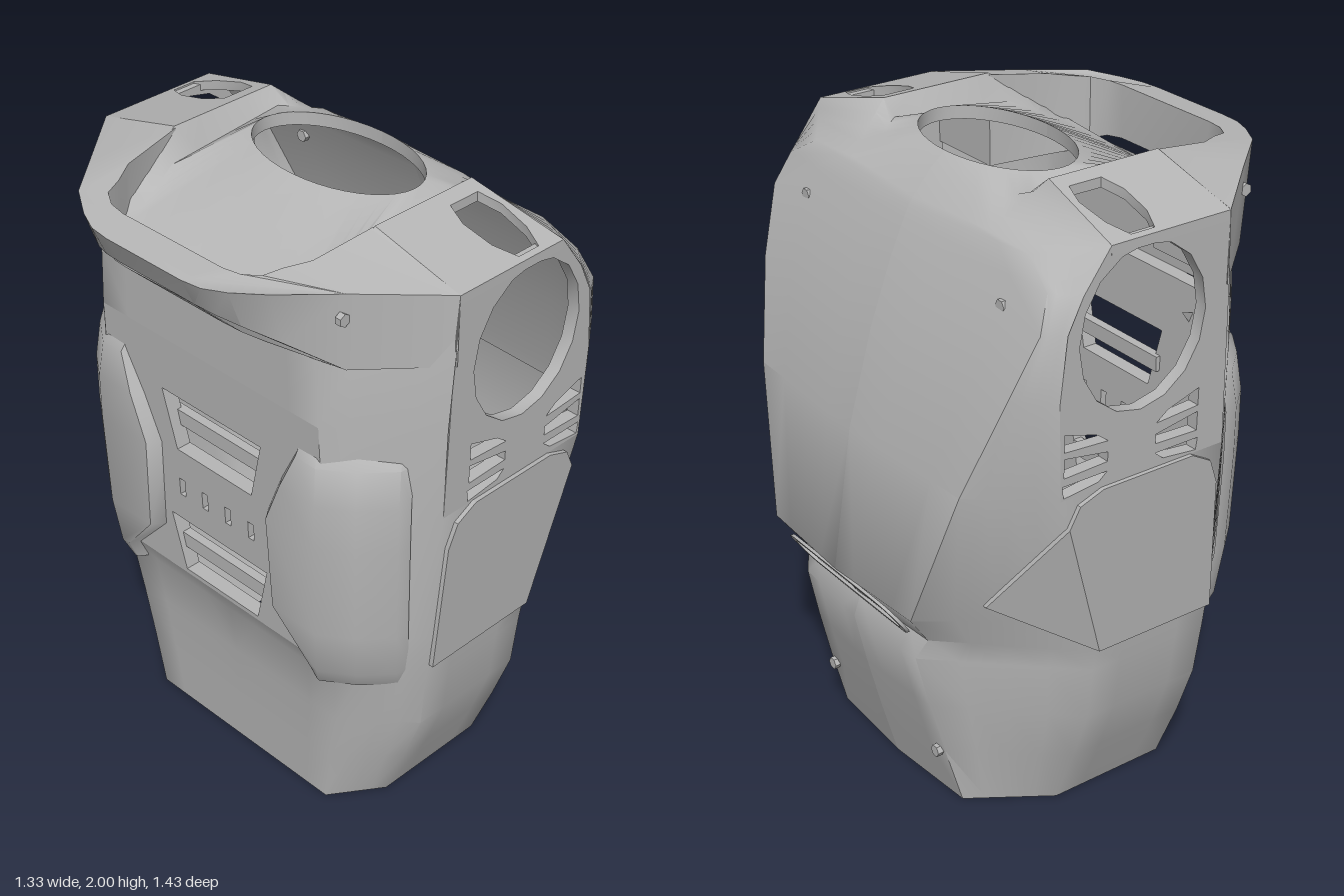
import * as THREE from 'three';
import { toCreasedNormals } from 'three/addons/utils/BufferGeometryUtils.js';

const grey = new THREE.MeshStandardMaterial({ color: 0xb6b6b6, side: THREE.DoubleSide });
grey.name = 'shell grey';

function mesh(name, geometry, crease = 0.6) {
  const m = new THREE.Mesh(toCreasedNormals(geometry, crease), grey);
  m.name = name;
  return m;
}

// Surface through rows of [x, y, z] points; skip(row, column) leaves openings
function loft(rows, skip = () => false) {
  const n = rows[0].length, index = [];
  for (let i = 0; i < rows.length - 1; i++) {
    for (let j = 0; j < n - 1; j++) {
      if (skip(i, j)) continue;
      const a = i * n + j, b = a + n;
      index.push(a, b, a + 1, a + 1, b, b + 1);
    }
  }
  const g = new THREE.BufferGeometry();
  g.setAttribute('position', new THREE.Float32BufferAttribute(rows.flat(2), 3));
  g.setIndex(index);
  return g;
}

// Extruded outline with holes, every vertex then moved by rule(u, v, depth)
function panel(name, outline, holes, depth, rule) {
  const shape = new THREE.Shape(outline.map(p => new THREE.Vector2(...p)));
  shape.holes = holes.map(h => new THREE.Path(h.map(p => new THREE.Vector2(...p))));
  const g = new THREE.ExtrudeGeometry(shape, { depth, bevelEnabled: false });
  const p = g.attributes.position;
  for (let i = 0; i < p.count; i++) p.setXYZ(i, ...rule(p.getX(i), p.getY(i), p.getZ(i)));
  return mesh(name, g, 0.5);
}

function ellipse(cx, cy, rx, ry, n) {
  return Array.from({ length: n }, (_, i) => {
    const a = (i / n) * Math.PI * 2;
    return [cx + rx * Math.cos(a), cy + ry * Math.sin(a)];
  });
}

function stadium(halfWidth, halfHeight, cy) {
  return Array.from({ length: 18 }, (_, i) => {
    const a = -Math.PI / 2 + (i % 9) / 8 * Math.PI + (i > 8 ? Math.PI : 0);
    const side = i > 8 ? -1 : 1;
    return [side * (halfWidth - halfHeight) + halfHeight * Math.cos(a), cy + halfHeight * Math.sin(a)];
  });
}

// Split each side of a six-point half section into four steps
const STEPS = 4;
function divide(points) {
  const out = [];
  for (let k = 0; k < points.length - 1; k++) {
    for (let s = 0; s < STEPS; s++) {
      out.push(points[k].map((v, c) => v + (points[k + 1][c] - v) * s / STEPS));
    }
  }
  out.push(points[points.length - 1]);
  return out;
}

function section([y, xf, zf, xa, zs, xb, xr, zr]) {
  return divide([[xf, y, 0], [xf - 0.02, y, zf], [xa, y, zs], [xb, y, zs], [xr, y, zr], [xr, y, 0]]);
}

function halfBody() {
  const half = new THREE.Group();
  half.name = 'bodyHalf';

  // Wall sections: height, chest x and half width, side front x, side z, side back x, back x and half width
  const walls = [
    [0, 0.46, 0.33, 0.2, 0.49, -0.2, -0.36, 0.38],
    [0.2, 0.515, 0.32, 0.2, 0.57, -0.21, -0.37, 0.41],
    [0.38, 0.56, 0.31, 0.2, 0.635, -0.21, -0.38, 0.44],
    [0.56, 0.60, 0.30, 0.2, 0.655, -0.22, -0.40, 0.46],
    [0.63, 0.575, 0.33, 0.2, 0.665, -0.22, -0.43, 0.46],
    [0.75, 0.66, 0.37, 0.23, 0.675, -0.22, -0.44, 0.46],
    [1.2, 0.59, 0.52, 0.36, 0.70, -0.22, -0.452, 0.46],
    [1.5, 0.505, 0.62, 0.37, 0.705, -0.22, -0.46, 0.45],
    [1.7, 0.43, 0.67, 0.35, 0.71, -0.21, -0.46, 0.44],
    [1.8, 0.385, 0.64, 0.30, 0.71, -0.20, -0.46, 0.42],
  ].map(section);

  // Inner lining, running from the waist down to the open base
  const lining = walls.slice(0, 7).reverse().map(row =>
    row.map(([x, y, z]) => [0.05 + (x - 0.05) * 0.92, y, z * 0.93]));

  // Chest lip, shoulder ridge and domed deck
  const deck = [
    [[0.365, 1.84, 0], [0.34, 1.865, 0.53], [0.21, 1.92, 0.71], [-0.2, 1.92, 0.71], [-0.46, 1.8, 0.4], [-0.46, 1.78, 0]],
    [[0.35, 1.86, 0], [0.335, 1.87, 0.34], [0.18, 2, 0.4], [-0.2, 2, 0.4], [-0.46, 1.82, 0.38], [-0.46, 1.79, 0]],
    [[0.29, 1.93, 0], [0.28, 1.93, 0.28], [0.17, 1.95, 0.36], [-0.25, 1.91, 0.36], [-0.43, 1.82, 0.32], [-0.43, 1.81, 0]],
  ].map(divide);
  const neck = [1.972, 1.93].map(y => walls[0].map((_, j, row) => {
    const a = j / (row.length - 1) * Math.PI;
    return [0.06 + 0.18 * Math.cos(a), y, 0.3 * Math.sin(a)];
  }));
  const rows = [...lining, ...walls, ...deck, ...neck];
  const skip = (i, j) => {
    const strip = Math.floor(j / STEPS);
    return (strip === 2 && i >= 13 && i <= 17) || (strip === 4 && (i < 2 || (i >= 11 && i <= 13)));
  };
  half.add(mesh('bodyShell', loft(rows, skip), 0.85));

  // Shoulder wall with arm opening and fanned vents
  const vents = [
    [[0.2, 1.34], [0.35, 1.35], [0.35, 1.405], [0.24, 1.37]],
    [[0.2, 1.275], [0.35, 1.27], [0.35, 1.33], [0.2, 1.305]],
    [[0.23, 1.22], [0.35, 1.207], [0.355, 1.245], [0.2, 1.245]],
  ];
  const mirrored = vents.map(v => v.map(([x, y]) => [0.23 - x, y]));
  half.add(panel('shoulderWall',
    [[-0.22, 1.2], [0.36, 1.2], [0.37, 1.5], [0.35, 1.7], [0.3, 1.8], [0.21, 1.92], [-0.2, 1.92], [-0.21, 1.7]],
    [ellipse(0.09, 1.65, 0.218, 0.247, 16), ...vents, ...mirrored], 0.04,
    (x, y, d) => [x, y, 0.66 + d + (y - 1.2) * 0.014]));

  // Sloped shoulder top with its opening
  half.add(panel('shoulderTop',
    [[-0.2, 0.4], [0.18, 0.4], [0.21, 0.71], [-0.2, 0.71]],
    [[[0.04, 0.45], [0.15, 0.45], [0.17, 0.52], [0.16, 0.62], [0.13, 0.69], [0.05, 0.69], [0.02, 0.62], [0.015, 0.52]]],
    0.03, (x, z, d) => [x, 2 - 0.258 * (z - 0.4) - d, z]));

  // Waist plate, folded along the body edge
  const plateRule = (x, y, d) => {
    const fold = 0.23 + (y - 0.75) * 0.29;
    return [x, y, 0.668 + d + 0.055 * (y - 0.64) - 0.76 * Math.max(0, x - fold)];
  };
  half.add(panel('waistPlate',
    [[-0.22, 0.64], [0.198, 0.64], [0.333, 1.104], [0.3, 1.17], [0.22, 1.2], [-0.1, 1.2], [-0.17, 1.16], [-0.2, 1.08]],
    [], 0.015, plateRule));
  half.add(panel('waistPlateFront', [[0.198, 0.64], [0.48, 0.81], [0.333, 1.104]], [], 0.015, plateRule));

  // Raised pad wrapping the rear corner: height, inset and shift of the inner edge
  const padPlan = [[-0.43, 0.22], [-0.485, 0.26], [-0.487, 0.46], [-0.42, 0.555], [-0.33, 0.635], [-0.285, 0.64]];
  const padRows = [[0.55, 0.06, 0.19], [0.62, 0.03, 0.17], [0.78, 0.01, 0.02], [1.1, 0, 0],
    [1.25, 0, 0.06], [1.37, 0.015, 0.12], [1.42, 0.05, 0.14]];
  half.add(mesh('rearPad', loft(padRows.map(([y, d, shift]) =>
    padPlan.map(([x, z], k) => [x + d, y, z - d * 0.7 + (k < 2 ? shift : 0)]))), 0.8));

  // Small fasteners
  for (const [x, y, z] of [[0.4, 1.72, 0.49], [0.503, 0.19, 0.29], [-0.43, 1.86, 0.51]]) {
    const g = new THREE.CylinderGeometry(0.02, 0.02, 0.02, 6);
    if (x > 0) g.rotateZ(Math.PI / 2); else g.rotateX(Math.PI / 2);
    const bolt = mesh('fastener', g);
    bolt.position.set(x, y, z);
    half.add(bolt);
  }
  return half;
}

export function createModel() {
  const model = new THREE.Group();
  model.name = 'armourTorso';
  const left = halfBody(), right = halfBody();
  right.scale.z = -1;
  model.add(left, right);

  // Rear wall with two windows and a row of slots
  const window = y => [[-0.21, y + 0.1], [-0.16, y - 0.1], [0.16, y - 0.1], [0.21, y + 0.1]];
  const slots = [-0.15, -0.05, 0.05, 0.15].map(z =>
    [[z - 0.012, 0.94], [z + 0.012, 0.94], [z + 0.012, 1.0], [z - 0.012, 1.0]]);
  model.add(panel('rearWall',
    [[-0.46, 0.63], [0.46, 0.63], [0.46, 1.2], [0.45, 1.5], [-0.45, 1.5], [-0.46, 1.2]],
    [window(0.745), window(1.21), ...slots], 0.05,
    (z, y, d) => [-0.43 - 0.034 * (y - 0.63) + d, y, z]));

  // Cross bars inside the rear windows
  for (const y of [0.74, 1.2]) {
    const bar = mesh('windowBar', new THREE.BoxGeometry(0.03, 0.05, 0.42));
    bar.position.set(-0.4, y, 0);
    model.add(bar);
  }

  // Carrying collar around the back, leaving a hand slot
  const outer = [[-0.2, 0.71], [-0.42, 0.515], [-0.57, 0.385], [-0.63, 0.29], [-0.66, 0.22], [-0.668, 0.15]];
  const slotEdge = [[-0.565, 0.2], [-0.555, 0.26], [-0.525, 0.31], [-0.47, 0.33], [-0.4, 0.37], [-0.2, 0.395]];
  const flip = pts => pts.map(([x, z]) => [x, -z]).reverse();
  model.add(panel('rearCollar', [...outer, ...flip(outer), ...flip(slotEdge), ...slotEdge], [], 1,
    (x, z, d) => {
      const top = 1.925 + 0.15 * (x + 0.67) - 0.24 * Math.max(0, Math.abs(z) - 0.4);
      const low = 1.7 + 0.6 * Math.max(0, -0.45 - x);
      const tuck = d < 0.5 && x < -0.568 ? 0.045 : 0;
      return [x + tuck, d > 0.5 ? top : low, z];
    }));

  // Rounded vent frame under the chest edge
  model.add(panel('chestVent', stadium(0.29, 0.065, 0.685), [stadium(0.265, 0.045, 0.685)], 0.012,
    (z, y, d) => [0.572 + d + (y - 0.63) * 0.68, y, z]));
  return model;
}
